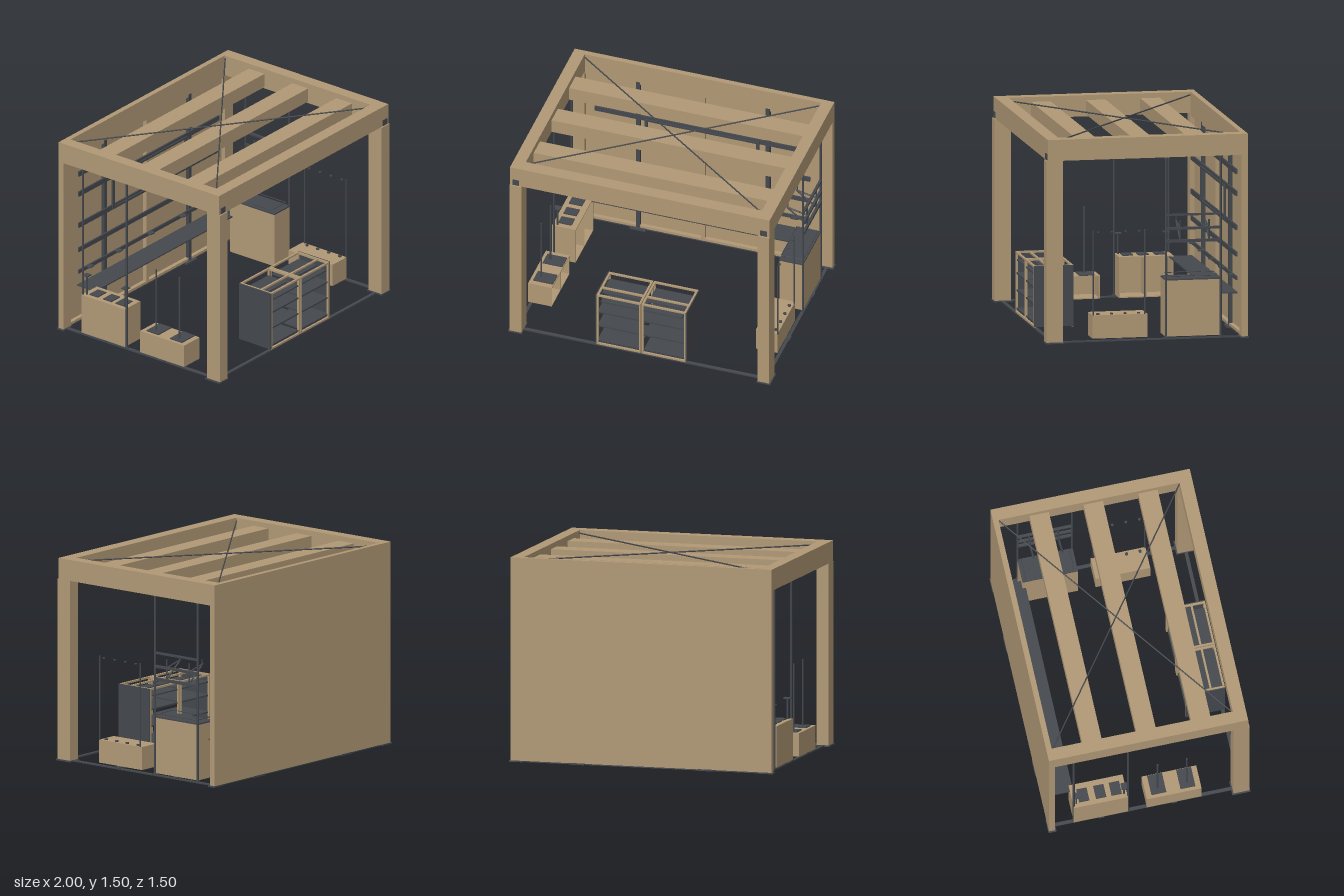
import * as THREE from 'three';

export function createModel() {
  const root = new THREE.Group();
  const timber = new THREE.MeshStandardMaterial({ color: 0xb09875 });
  timber.name = 'timber';
  const steel = new THREE.MeshStandardMaterial({ color: 0x44484d });
  steel.name = 'dark steel';

  let parent = root;
  const group = (name) => {
    parent = new THREE.Group();
    parent.name = name;
    root.add(parent);
  };
  // Box from its lower and upper limits
  const box = (name, mat, x0, x1, y0, y1, z0, z1) => {
    const m = new THREE.Mesh(new THREE.BoxGeometry(x1 - x0, y1 - y0, z1 - z0), mat);
    m.position.set((x0 + x1) / 2, (y0 + y1) / 2, (z0 + z1) / 2);
    m.name = name;
    parent.add(m);
    return m;
  };
  // Round bar between two points
  const bar = (name, a, b, r) => {
    const p = new THREE.Vector3(...a), q = new THREE.Vector3(...b);
    const d = q.clone().sub(p);
    const m = new THREE.Mesh(new THREE.CylinderGeometry(r, r, d.length(), 10), steel);
    m.position.copy(p).add(q).multiplyScalar(0.5);
    m.quaternion.setFromUnitVectors(new THREE.Vector3(0, 1, 0), d.normalize());
    m.name = name;
    parent.add(m);
  };
  // Side-neutral box: s is -1 or 1, a and b are distances from the centre plane
  const sideBox = (name, mat, s, a, b, ...yz) =>
    box(name, mat, Math.min(s * a, s * b), Math.max(s * a, s * b), ...yz);

  // Pergola frame: posts, ring beam and cross beams
  group('pergolaFrame');
  for (const s of [-1, 1]) {
    sideBox('frontPost', timber, s, 0.9, 0.99, 0.01, 1.34, 0.62, 0.74);
    sideBox('backPost', timber, s, 0.9, 0.99, 0.01, 1.34, -0.735, -0.7);
    sideBox('sideBeam', timber, s, 0.9, 0.99, 1.34, 1.495, -0.705, 0.635);
    sideBox('jointPlate', steel, s, 0.92, 0.97, 1.345, 1.39, 0.73, 0.736);
    sideBox('footPlate', steel, s, 0.895, 1, 0, 0.01, 0.61, 0.745);
    sideBox('backFootPlate', steel, s, 0.895, 1, 0, 0.01, -0.75, -0.69);
  }
  box('frontBeam', timber, -0.99, 0.99, 1.34, 1.495, 0.635, 0.73);
  box('backBeam', timber, -0.99, 0.99, 1.34, 1.495, -0.745, -0.705);
  for (const z of [-0.405, -0.005, 0.4])
    box('crossBeam', timber, -0.895, 0.895, 1.355, 1.46, z - 0.072, z + 0.072);
  for (const s of [-1, 1])
    bar('bracingCable', [-0.9 * s, 1.472, -0.7], [0.9 * s, 1.472, 0.635], 0.005);

  // Thin base rails and pads on the ground
  group('baseRails');
  for (const s of [-1, 1]) {
    sideBox('sideRail', steel, s, 0.935, 0.96, 0, 0.01, -0.7, 0.62);
    for (const z of [-0.35, 0.19])
      sideBox('sidePad', steel, s, 0.84, 0.97, 0.008, 0.02, z - 0.02, z + 0.02);
    sideBox('backPad', steel, s, 0.43, 0.55, 0, 0.012, -0.75, -0.68);
  }
  box('frontRail', steel, -0.9, 0.9, 0, 0.01, 0.67, 0.695);
  box('backRail', steel, -0.9, 0.9, 0, 0.01, -0.735, -0.705);

  // Back wall with its studs
  group('backWall');
  box('wallPanel', timber, -0.99, 0.99, 0.01, 1.34, -0.745, -0.735);
  box('centreStud', timber, -0.015, 0.015, 0.03, 1.32, -0.735, -0.705);
  box('topPlate', timber, -0.9, 0.9, 1.32, 1.34, -0.735, -0.705);
  box('bottomPlate', timber, -0.9, 0.9, 0.01, 0.03, -0.735, -0.705);

  // Steel rack on the wall: uprights, rails, shelf and open frame
  group('wallRack');
  for (const s of [-1, 1])
    sideBox('upright', steel, s, 0.48, 0.51, 0.01, 1.34, -0.73, -0.702);
  for (const [y, h] of [[1.19, 0.038], [1.03, 0.038], [0.78, 0.038], [0.585, 0.034], [0.41, 0.028]])
    box('rail', steel, -0.82, 0.82, y - h / 2, y + h / 2, -0.702, -0.69);
  box('longShelf', steel, -0.83, 0.83, 0.3, 0.309, -0.702, -0.53);
  for (const x of [-0.71, -0.375, 0, 0.375, 0.71])
    box('hook', steel, x - 0.025, x + 0.025, 0.416, 0.424, -0.69, -0.655);
  for (const s of [-1, 1])
    sideBox('frameSide', steel, s, 0.415, 0.435, 0.77, 1.03, -0.695, -0.68);
  for (const y of [0.77, 1.015])
    box('frameBar', steel, -0.435, 0.435, y, y + 0.015, -0.695, -0.68);

  // Storage boxes on the left, open towards the middle
  const openBox = (name, y1, z0, z1) => {
    const x0 = -0.965, x1 = -0.785, y0 = 0.02, t = 0.008;
    group(name);
    box('back', timber, x0, x0 + t, y0, y1, z0, z1);
    box('bottom', timber, x0, x1, y0, y0 + t, z0, z1);
    box('top', timber, x0, x1, y1 - t, y1, z0, z1);
    for (const z of [z0, (z0 + z1 - t) / 2, z1 - t])
      box('divider', timber, x0, x1, y0, y1, z, z + t);
  };
  openBox('leftFrontBox', 0.19, -0.015, 0.39);
  for (const z of [0.08, 0.295]) {
    box('topPad', steel, -0.94, -0.79, 0.19, 0.198, z - 0.055, z + 0.055);
    bar('shortPole', [-0.897, 0.19, z], [-0.897, 0.683, z], 0.007);
  }
  openBox('leftBackBox', 0.32, -0.555, -0.155);
  for (const z of [-0.47, -0.345, -0.23])
    box('topPad', steel, -0.93, -0.83, 0.32, 0.328, z - 0.038, z + 0.038);
  for (const z of [-0.175, -0.53]) {
    bar('stem', [-0.93, 0.32, z], [-0.93, 0.47, z], 0.007);
    box('stemPlate', steel, -0.955, -0.905, 0.468, 0.476, z - 0.023, z + 0.023);
  }

  // Tall poles from ground to side beams
  group('tallPoles');
  for (const s of [-1, 1])
    for (const z of [-0.15, -0.553]) {
      bar('tallPole', [s * 0.95, 0.01, z], [s * 0.95, 1.34, z], 0.008);
      bar('poleCap', [s * 0.95, 1.325, z], [s * 0.95, 1.34, z], 0.016);
      bar('poleFoot', [s * 0.95, 0.01, z], [s * 0.95, 0.02, z], 0.016);
    }

  // Planter on the right with poles and small discs
  group('rightPlanter');
  box('planterBox', timber, 0.77, 0.935, 0.02, 0.19, -0.015, 0.39);
  for (const z of [0.003, 0.385])
    bar('planterPole', [0.935, 0.19, z], [0.935, 0.81, z], 0.006);
  for (const z of [0.045, 0.145, 0.245, 0.345]) {
    bar('upperDisc', [0.935, 0.795, z], [0.935, 0.803, z], 0.01);
    bar('lowerDisc', [0.91, 0.19, z], [0.91, 0.2, z], 0.012);
  }

  // Cabinet on the right with rails and folding arms above
  group('rightCabinet');
  box('cabinetBody', timber, 0.77, 0.95, 0.02, 0.43, -0.555, -0.145);
  box('cabinetTop', steel, 0.77, 0.95, 0.43, 0.44, -0.555, -0.145);
  for (const x of [0.775, 0.94])
    bar('topRail', [x, 0.46, -0.53], [x, 0.46, -0.175], 0.003);
  for (const z of [-0.175, -0.53])
    bar('topRailEnd', [0.775, 0.46, z], [0.94, 0.46, z], 0.003);
  for (const [y, h] of [[0.91, 0.014], [0.81, 0.018], [0.718, 0.02]])
    box('ladderRail', steel, 0.94, 0.96, y - h / 2, y + h / 2, -0.553, -0.15);
  for (const z of [-0.255, -0.468]) {
    bar('armPost', [0.945, 0.72, z], [0.945, 0.87, z], 0.006);
    bar('armStrut', [0.945, 0.725, z], [0.795, 0.84, z], 0.006);
    bar('arm', [0.945, 0.81, z], [0.79, 0.845, z], 0.006);
    bar('armPin', [0.8, 0.84, z], [0.8, 0.882, z], 0.004);
  }

  // Open shelving unit at the front, two bays
  group('shelvingUnit');
  const [zb, zf] = [0.41, 0.7];
  for (const s of [-1, 1]) {
    sideBox('sidePanel', steel, s, 0.34, 0.348, 0.02, 0.465, zb, zf);
    for (const a of [0.003, 0.325])
      for (const z of [zb, zf - 0.015])
        sideBox('stile', timber, s, a, a + 0.015, 0.015, 0.465, z, z + 0.015);
    for (const a of [0.003, 0.325])
      sideBox('topSide', timber, s, a, a + 0.015, 0.45, 0.465, zb, zf);
    for (const z of [zb, 0.59, zf - 0.015])
      sideBox('topBar', timber, s, 0.003, 0.34, 0.452, 0.465, z, z + 0.015);
    sideBox('bottomBar', timber, s, 0.003, 0.34, 0.015, 0.028, zf - 0.015, zf);
    for (const y of [0.04, 0.175, 0.3])
      sideBox('shelf', steel, s, 0.018, 0.335, y, y + 0.012, zb + 0.01, zf - 0.005);
    sideBox('topShelf', steel, s, 0.018, 0.335, 0.4, 0.41, zb + 0.01, 0.59);
    sideBox('frontLedge', steel, s, 0.018, 0.31, 0.4, 0.41, 0.61, zf - 0.005);
  }
  bar('centreRod', [0, 0.02, zb + 0.01], [0, 0.46, zb + 0.01], 0.003);
  return root;
}
